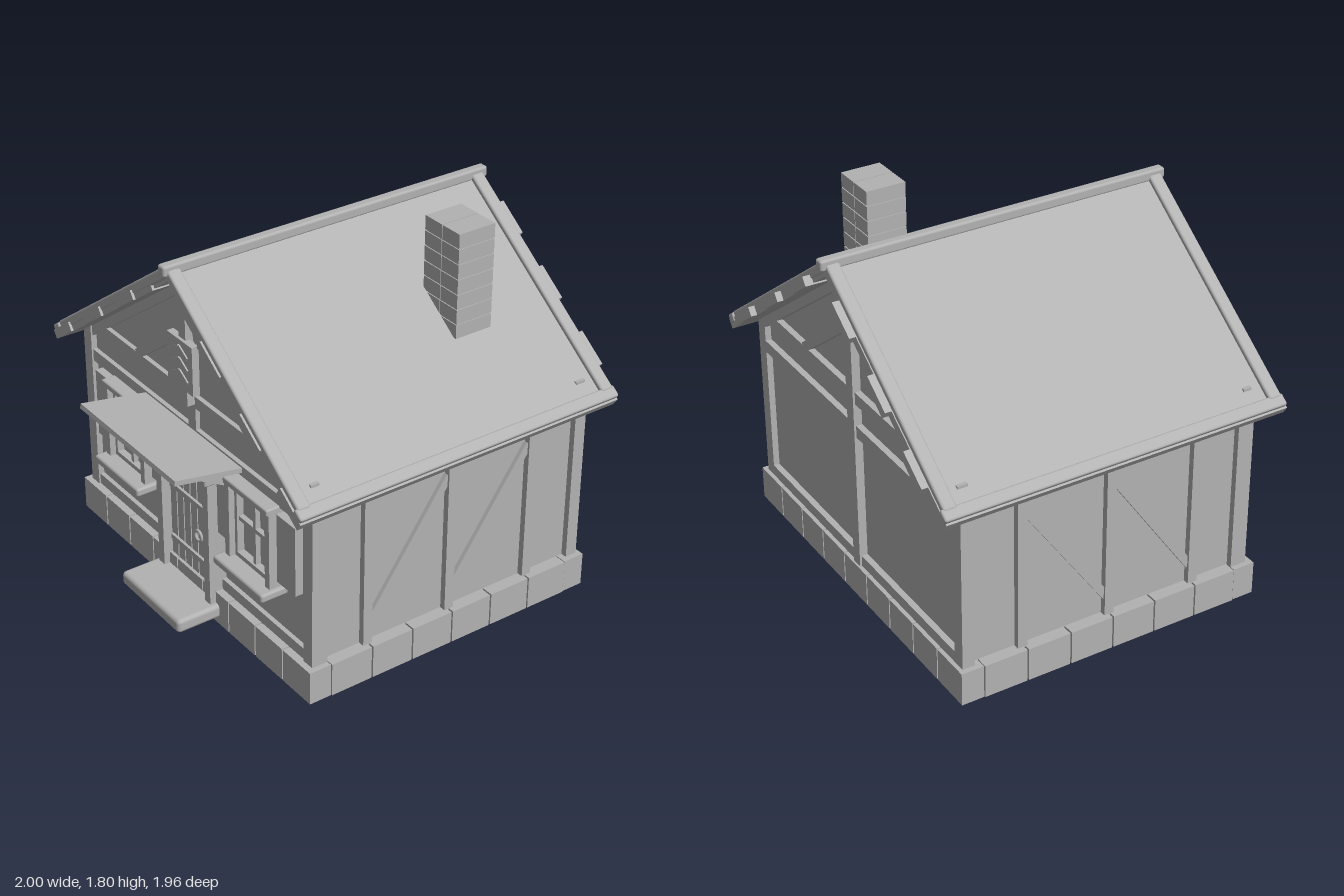
import * as THREE from 'three';
import { RoundedBoxGeometry } from 'three/addons/geometries/RoundedBoxGeometry.js';

const gray = new THREE.MeshStandardMaterial({ color: 0xb2b2b2 });
gray.name = 'plain gray';

export function createModel() {
  const root = new THREE.Group();
  root.name = 'cottage';

  function add(name, geometry, parent = root) {
    const m = new THREE.Mesh(geometry, gray);
    m.name = name;
    parent.add(m);
    return m;
  }
  // Box given by its limits; a radius rounds its edges
  function box(name, x0, x1, y0, y1, z0, z1, r = 0, parent = root) {
    const w = x1 - x0, h = y1 - y0, d = z1 - z0;
    const g = r ? new RoundedBoxGeometry(w, h, d, 2, r) : new THREE.BoxGeometry(w, h, d);
    const m = add(name, g, parent);
    m.position.set((x0 + x1) / 2, (y0 + y1) / 2, (z0 + z1) / 2);
    return m;
  }
  // Slanted beam in the xy plane between two points
  function beam(name, ax, ay, bx, by, thick, z0, z1, parent = root, r = 0) {
    const len = Math.hypot(bx - ax, by - ay);
    const m = box(name, 0, len, 0, thick, z0, z1, r, parent);
    m.position.set((ax + bx) / 2, (ay + by) / 2, (z0 + z1) / 2);
    m.rotation.z = Math.atan2(by - ay, bx - ax);
    return m;
  }

  // Solid house body with gables
  const outline = new THREE.Shape([[-0.89, 0.08], [0.89, 0.08], [0.89, 1.03], [0, 1.67], [-0.89, 1.03]]
    .map(p => new THREE.Vector2(...p)));
  const body = add('walls', new THREE.ExtrudeGeometry(outline, { depth: 1.43, bevelEnabled: false }));
  body.position.z = -0.81;

  // Foundation blocks
  const gap = 0.004;
  for (let i = 0; i < 9; i++) {
    const x = -0.95 + i * 1.9 / 9, x1 = x + 1.9 / 9;
    box('foundationBlock', x + gap, x1 - gap, 0, 0.165, 0.57, 0.68);
    box('foundationBlock', x + gap, x1 - gap, 0, 0.165, -0.86, -0.75);
  }
  for (let i = 0; i < 6; i++) {
    const z = -0.75 + i * 0.22;
    for (const s of [-1, 1]) {
      box('foundationBlock', s * 0.895 - 0.055, s * 0.895 + 0.055, 0, 0.165, z + gap, z + 0.22 - gap);
    }
  }

  // Side timber: corner posts, studs and diagonal braces
  const sideFrame = new THREE.Group();
  sideFrame.name = 'sideBraces';
  sideFrame.rotation.y = Math.PI / 2;
  root.add(sideFrame);
  for (const s of [-1, 1]) {
    const post = (z0, z1, a, b) =>
      box('post', Math.min(s * a, s * b), Math.max(s * a, s * b), 0.16, 1.04, z0, z1);
    post(0.57, 0.65, 0.855, 0.92);
    post(-0.84, -0.78, 0.855, 0.92);
    for (const z of [0.355, -0.093, -0.54]) post(z - 0.024, z + 0.024, 0.87, 0.92);
    const d0 = Math.min(s * 0.87, s * 0.91), d1 = d0 + 0.04;
    for (const u of [-0.33, 0.115]) {
      beam('diagonalBrace', u - 0.01, 0.262, u + 0.41, 0.865, 0.04, d0, d1, sideFrame);
    }
  }

  // Front and back timber
  for (const [z0, z1] of [[0.6, 0.642], [-0.84, -0.79]]) {
    box('sillBeam', -0.86, 0.86, 0.16, 0.22, z0, z1);
    box('lowerBeam', -0.91, 0.91, 0.85, 0.91, z0, z1);
    box('upperBeam', -0.9, 0.9, 1.02, 1.08, z0, z1);
    for (const s of [-1, 1]) {
      beam('gableRafter', 0, 1.635, s * 0.9, 0.987, 0.06, z0, z1);
      beam('gableStrut', s * 0.455, 1.07, 0, 1.41, 0.045, z0, z1);
    }
  }
  box('centerPost', -0.03, 0.03, 0.75, 1.06, 0.6, 0.642);
  box('frontKingPost', -0.027, 0.027, 1.04, 1.67, 0.6, 0.68);
  box('backKingPost', -0.03, 0.03, 0.16, 1.67, -0.85, -0.79);

  // Gable plaque with chevrons
  box('plaque', -0.1, 0.1, 1.13, 1.37, 0.66, 0.695);
  for (const y of [1.22, 1.28, 1.34]) {
    for (const s of [-1, 1]) beam('chevron', s * 0.065, y - 0.04, 0, y, 0.014, 0.69, 0.702);
  }

  // Roof slopes, edge trim and tiles showing at the gable ends
  const roofY = (x, offset) => 1.715 + offset - 0.72 * x;
  for (const s of [-1, 1]) {
    const slope = (name, x0, x1, off, t, z0, z1, r) =>
      beam(name, s * x0, roofY(x0, off), s * x1, roofY(x1, off), t, z0, z1, root, r);
    slope('roofSlope', 0, 0.975, -0.027, 0.044, -0.94, 0.74);
    slope('frontRoofTrim', 0, 0.96, -0.004, 0.05, 0.69, 0.755, 0.012);
    slope('backRoofTrim', 0, 0.96, -0.004, 0.05, -0.945, -0.88, 0.012);
    slope('eaveTrim', 0.945, 0.992, -0.008, 0.046, -0.955, 0.765, 0.01);
    for (let i = 0; i < 6; i++) {
      const x = 0.12 + i * 0.1445, back = i % 2 === 0;
      slope('roofTile', x, x + 0.1445, -0.035, 0.045, back ? -0.98 : -0.95, back ? 0.752 : 0.765);
    }
  }
  box('ridgeBeam', -0.025, 0.025, 1.695, 1.747, -0.97, 0.775, 0.012);

  // Brick chimney
  for (let i = 0; i < 7; i++) {
    const y = 1.3 + i * 0.073;
    for (const x of [0.355, 0.474]) box('chimneyBrick', x, x + 0.115, y, y + 0.067, -0.545, -0.35);
  }
  box('chimneyCore', 0.36, 0.584, 1.3, 1.8, -0.54, -0.355);

  // Door with frame, planks, straps and ring
  for (let i = 0; i < 6; i++) {
    const x = -0.17 + i * 0.34 / 6;
    box('doorPlank', x + 0.004, x + 0.0527, 0.1, 0.735, 0.62, 0.665);
  }
  for (const y of [0.262, 0.55]) box('doorStrap', -0.155, 0.155, y - 0.013, y + 0.013, 0.66, 0.678);
  for (const s of [-1, 1]) box('doorJamb', s * 0.193 - 0.022, s * 0.193 + 0.022, 0.1, 0.75, 0.61, 0.71);
  box('doorLintel', -0.22, 0.22, 0.735, 0.79, 0.61, 0.725, 0.01);
  const ring = add('doorRing', new THREE.TorusGeometry(0.026, 0.007, 8, 20));
  ring.position.set(0.09, 0.4, 0.683);
  box('doorStep', -0.243, 0.243, 0.035, 0.105, 0.64, 0.9, 0.02);

  // Windows with sills and shutters
  for (const s of [-1, 1]) {
    const win = new THREE.Group();
    win.name = 'window';
    win.position.x = s * 0.505;
    root.add(win);
    box('pane', -0.14, 0.14, 0.45, 0.83, 0.61, 0.635, 0, win);
    for (const t of [-1, 1]) {
      box('windowJamb', t * 0.153 - 0.017, t * 0.153 + 0.017, 0.44, 0.83, 0.61, 0.7, 0, win);
      box('sashSide', t * 0.128 - 0.01, t * 0.128 + 0.01, 0.45, 0.83, 0.61, 0.67, 0, win);
      box('shutter', t * 0.238 - 0.068, t * 0.238 + 0.068, 0.48, 0.825, 0.61, 0.66, 0, win);
    }
    box('windowHead', -0.168, 0.168, 0.825, 0.858, 0.61, 0.71, 0.008, win);
    box('sashTop', -0.13, 0.13, 0.81, 0.83, 0.61, 0.67, 0, win);
    box('sashBottom', -0.13, 0.13, 0.45, 0.475, 0.61, 0.67, 0, win);
    box('verticalMullion', -0.01, 0.01, 0.46, 0.82, 0.61, 0.66, 0, win);
    box('crossMullion', -0.13, 0.13, 0.64, 0.66, 0.61, 0.66, 0, win);
    box('windowSill', -0.19, 0.19, 0.41, 0.452, 0.61, 0.755, 0.012, win);
  }

  // Door canopy and brackets
  beam('canopy', -0.98, 0.946, -0.63, 0.886, 0.024, -0.39, 0.39, sideFrame);
  for (const x of [-0.29, 0.29]) {
    beam('canopyBracket', -0.875, 0.91, -0.63, 0.775, 0.035, x - 0.018, x + 0.018, sideFrame);
    box('bracketBlock', x - 0.018, x + 0.018, 0.78, 0.89, 0.61, 0.66);
  }
  return root;
}
